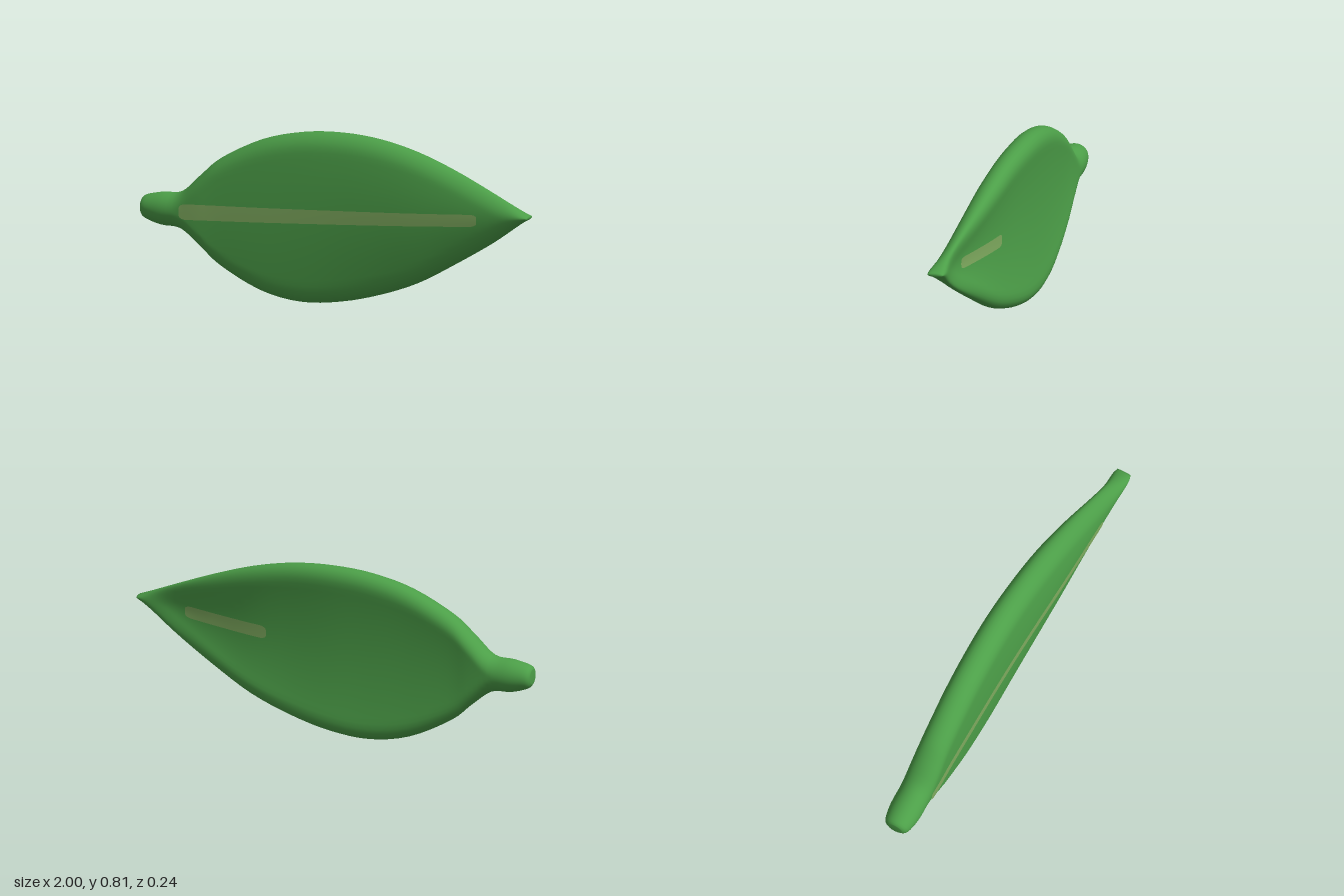
import * as THREE from 'three';

// Cross-sections along the leaf: x, top y, bottom y, front rim z, back rim z, front bulge, back dish
const STATIONS = [
  [-1.0, 0.425, 0.36, -0.01, -0.08, 0, 0],
  [-0.98, 0.445, 0.335, 0.015, -0.105, 0, 0],
  [-0.9, 0.463, 0.31, 0.03, -0.12, 0, 0],
  [-0.8, 0.475, 0.3, 0.03, -0.12, 0, 0],
  [-0.7, 0.565, 0.225, 0.027, -0.122, 0.005, 0.008],
  [-0.6, 0.65, 0.14, 0.022, -0.123, 0.01, 0.02],
  [-0.4, 0.75, 0.04, 0.02, -0.123, 0.017, 0.03],
  [-0.2, 0.8, 0.003, 0.02, -0.121, 0.023, 0.035],
  [0.0, 0.814, 0.02, 0.022, -0.115, 0.03, 0.038],
  [0.2, 0.8, 0.07, 0.03, -0.1, 0.035, 0.04],
  [0.4, 0.757, 0.145, 0.043, -0.08, 0.037, 0.042],
  [0.6, 0.69, 0.255, 0.058, -0.048, 0.035, 0.045],
  [0.8, 0.61, 0.375, 0.08, -0.005, 0.026, 0.04],
  [0.95, 0.546, 0.48, 0.112, 0.022, 0.008, 0.012],
  [1.0, 0.525, 0.51, 0.114, 0.045, 0, 0],
];

// Smooth interpolation of a whole station row; t runs over station numbers
function stationAt(t) {
  const last = STATIONS.length - 1;
  const i = Math.min(Math.floor(t), last - 1), f = t - i;
  const [p, q, r, s] = [i - 1, i, i + 1, i + 2].map(k => STATIONS[THREE.MathUtils.clamp(k, 0, last)]);
  return q.map((b, k) => b + 0.5 * f * (r[k] - p[k]
    + f * (2 * p[k] - 5 * b + 4 * r[k] - s[k] + f * (3 * (b - r[k]) + s[k] - p[k]))));
}

function stationAtX(x) {
  let lo = 0, hi = STATIONS.length - 1;
  for (let n = 0; n < 30; n++) {
    const mid = (lo + hi) / 2;
    if (stationAt(mid)[0] < x) lo = mid; else hi = mid;
  }
  return stationAt(lo);
}

// Depth of the front or back skin at v, from -1 (lower edge) to 1 (upper edge)
function skinZ([, top, bottom, front, back, bulge, dish], v, isFront) {
  const half = (top - bottom) / 2, middle = (front + back) / 2;
  const radius = Math.min(half, 0.08);
  const d = Math.min(1, half * (1 - Math.abs(v)) / radius);
  const round = Math.sqrt(Math.max(0, 1 - (1 - d) ** 2));
  const crown = (isFront ? bulge : dish) * (1 - v * v);
  return middle + ((isFront ? front : back) - middle) * round + crown;
}

function makeGeometry(positions, indices) {
  const g = new THREE.BufferGeometry();
  g.setAttribute('position', new THREE.Float32BufferAttribute(positions, 3));
  g.setIndex(indices);
  g.computeVertexNormals();
  return g;
}

// Closed body: rings around each cross-section
function bladeGeometry() {
  const N = 28, ring = 2 * N, rows = (STATIONS.length - 1) * 4;
  const pos = [], idx = [];
  for (let i = 0; i <= rows; i++) {
    const s = stationAt(i / 4);
    for (let j = 0; j < ring; j++) {
      const v = Math.sin(Math.PI / 2 - Math.PI * (j <= N ? j : ring - j) / N);
      pos.push(s[0], (s[1] + s[2]) / 2 + v * (s[1] - s[2]) / 2, skinZ(s, v, j <= N));
    }
  }
  for (let i = 0; i < rows; i++) {
    for (let j = 0; j < ring; j++) {
      const a = i * ring + j, b = i * ring + (j + 1) % ring;
      idx.push(a, b, b + ring, a, b + ring, a + ring);
    }
  }
  // End caps
  for (const [row, flip] of [[0, true], [rows, false]]) {
    const s = stationAt(row / 4), c = pos.length / 3;
    pos.push(s[0], (s[1] + s[2]) / 2, (s[3] + s[4]) / 2);
    for (let j = 0; j < ring; j++) {
      const a = row * ring + j, b = row * ring + (j + 1) % ring;
      idx.push(c, flip ? b : a, flip ? a : b);
    }
  }
  return makeGeometry(pos, idx);
}

// Midrib stripe lying just above the front or back skin, with rounded ends
function stripeGeometry(x0, x1, isFront) {
  const rows = 48, cols = 4, endR = 0.035, pos = [], idx = [];
  for (let i = 0; i <= rows; i++) {
    const x = (x0 + x1) / 2 - (x1 - x0) / 2 * Math.cos(Math.PI * i / rows);
    const s = stationAtX(x);
    const d = Math.min(1, Math.min(x - x0, x1 - x) / endR);
    const width = THREE.MathUtils.mapLinear(x, -0.78, 0.75, 0.037, 0.028)
      * (0.45 + 0.55 * Math.sqrt(Math.max(0, 1 - (1 - d) ** 2)));
    const t = (x + 0.78) / 1.53;
    const y = 0.393 + 0.06 * t + 0.035 * t * t;
    for (let j = 0; j <= cols; j++) {
      const py = y + width * (1 - 2 * j / cols);
      const v = (py - (s[1] + s[2]) / 2) / ((s[1] - s[2]) / 2);
      pos.push(x, py, skinZ(s, v, isFront) + (isFront ? 0.005 : -0.005));
    }
  }
  for (let i = 0; i < rows; i++) {
    for (let j = 0; j < cols; j++) {
      const a = i * (cols + 1) + j, b = a + 1, c = a + cols + 1, d = c + 1;
      if (isFront) idx.push(a, b, d, a, d, c);
      else idx.push(a, d, b, a, c, d);
    }
  }
  return makeGeometry(pos, idx);
}

export function createModel() {
  const group = new THREE.Group();
  group.name = 'leaf';
  const leafGreen = new THREE.MeshStandardMaterial({ color: 0x4c9f48 });
  leafGreen.name = 'leafGreen';
  const paleGreen = new THREE.MeshStandardMaterial({ color: 0x7eaa5e });
  paleGreen.name = 'paleGreen';

  const add = (name, geometry, material) => {
    const mesh = new THREE.Mesh(geometry, material);
    mesh.name = name;
    group.add(mesh);
  };
  add('bladeAndStem', bladeGeometry(), leafGreen);
  add('frontMidrib', stripeGeometry(-0.785, 0.745, true), paleGreen);
  add('backMidrib', stripeGeometry(0.32, 0.75, false), paleGreen);
  return group;
}
